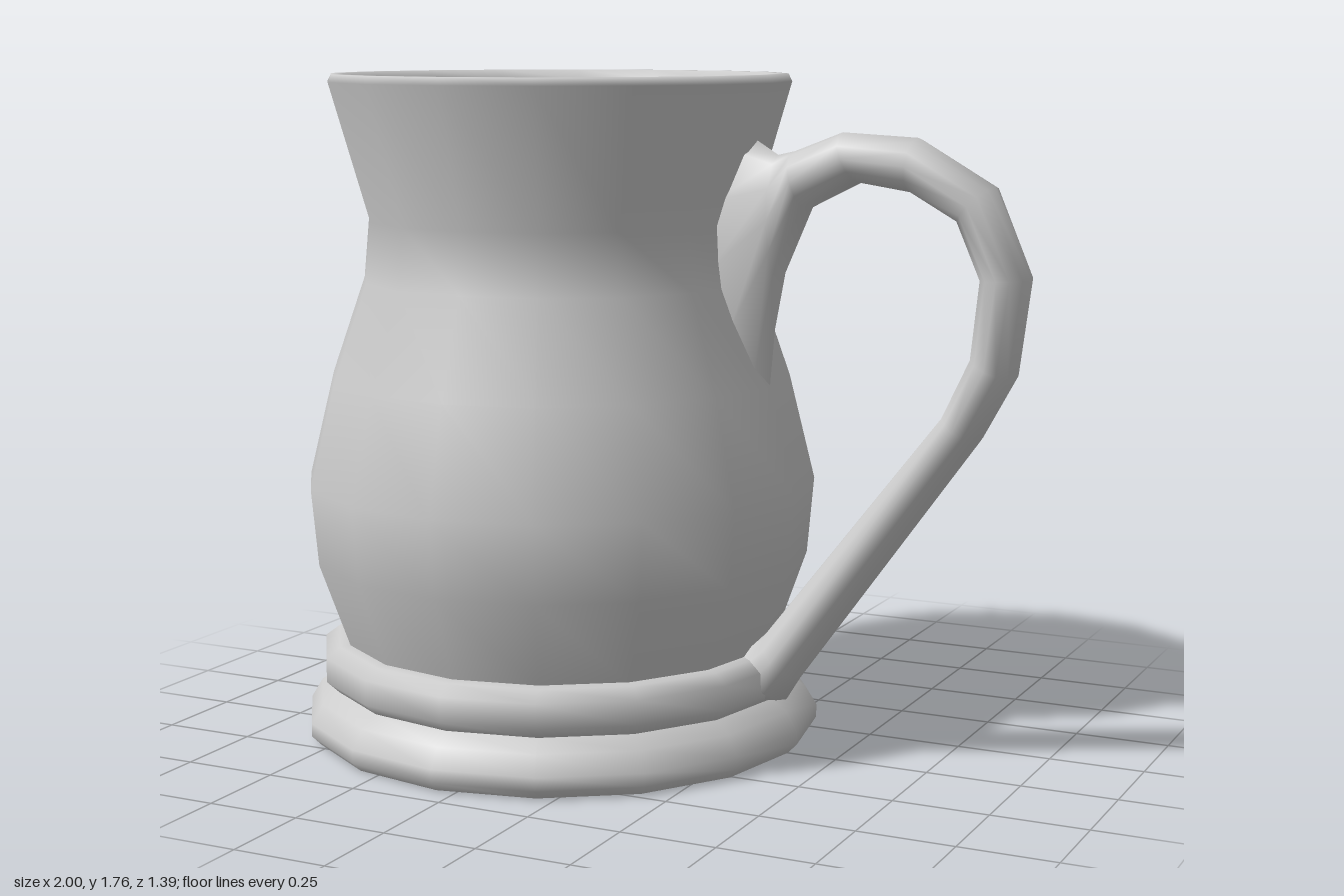
import * as THREE from 'three';

const material = new THREE.MeshStandardMaterial({ color: 0xcccccc });
const CUP_X = -0.305;

// Turned part from a [radius, height] profile, 16 sided
function turned(name, profile) {
  const points = profile.map(([r, y]) => new THREE.Vector2(r, y));
  const mesh = new THREE.Mesh(new THREE.LatheGeometry(points, 16), material);
  mesh.name = name;
  mesh.position.x = CUP_X;
  return mesh;
}

// Skin through oval sections, each [outerX, outerY, innerX, innerY, halfWidth, bow]
function lofted(name, sections, sides) {
  const positions = [], index = [];
  sections.forEach(([ox, oy, ix, iy, w, bow = 0], i) => {
    for (let j = 0; j < sides; j++) {
      const a = (j / sides) * Math.PI * 2, c = Math.cos(a), s = Math.sin(a);
      positions.push(
        (ox + ix) / 2 + (c * (ox - ix)) / 2 - bow * (1 - c * c),
        (oy + iy) / 2 + (c * (oy - iy)) / 2,
        w * s
      );
      if (i < sections.length - 1) {
        const p = i * sides + j, q = i * sides + ((j + 1) % sides);
        index.push(p, q, p + sides, q, q + sides, p + sides);
      }
    }
  });
  const geometry = new THREE.BufferGeometry();
  geometry.setAttribute('position', new THREE.Float32BufferAttribute(positions, 3));
  geometry.setIndex(index);
  geometry.computeVertexNormals();
  const mesh = new THREE.Mesh(geometry, material);
  mesh.name = name;
  return mesh;
}

export function createModel() {
  const group = new THREE.Group();
  group.name = 'tankard';

  // Flat underside and the stepped foot
  group.add(turned('underside', [[0, 0], [0.67, 0]]));
  group.add(turned('footRing', [
    [0.67, 0], [0.695, 0.025], [0.695, 0.06], [0.665, 0.11], [0.62, 0.14],
  ]));
  group.add(turned('footBand', [
    [0.62, 0.14], [0.652, 0.17], [0.652, 0.235], [0.615, 0.262], [0.585, 0.265],
  ]));

  // Bellied wall, rounded rim, inner wall and floor
  group.add(turned('cup', [
    [0.585, 0.26], [0.665, 0.487], [0.683, 0.69], [0.615, 0.968], [0.526, 1.225],
    [0.511, 1.385], [0.615, 1.745], [0.605, 1.765], [0.575, 1.765], [0.555, 1.74],
    [0.442, 1.385], [0.455, 1.225], [0.54, 0.968], [0.61, 0.69], [0.595, 0.487],
    [0.51, 0.29], [0.3, 0.24], [0, 0.23],
  ]));

  // Handle: tall flared root on the neck, hooked loop, straight run to the foot
  group.add(lofted('handle', [
    [0.235, 1.62, 0.305, 0.95, 0.085, 0.085],
    [0.325, 1.565, 0.33, 1.24, 0.085],
    [0.37, 1.575, 0.41, 1.43, 0.085],
    [0.5, 1.625, 0.55, 1.5, 0.086],
    [0.7, 1.615, 0.685, 1.48, 0.087],
    [0.9, 1.5, 0.81, 1.41, 0.087],
    [0.995, 1.278, 0.87, 1.273, 0.087],
    [0.963, 1.03, 0.85, 1.08, 0.087],
    [0.875, 0.87, 0.78, 0.93, 0.087],
    [0.4, 0.21, 0.3, 0.315, 0.09],
    [0.36, 0.145, 0.26, 0.29, 0.105],
    [0.3, 0.14, 0.2, 0.26, 0.08],
  ], 12));

  return group;
}
